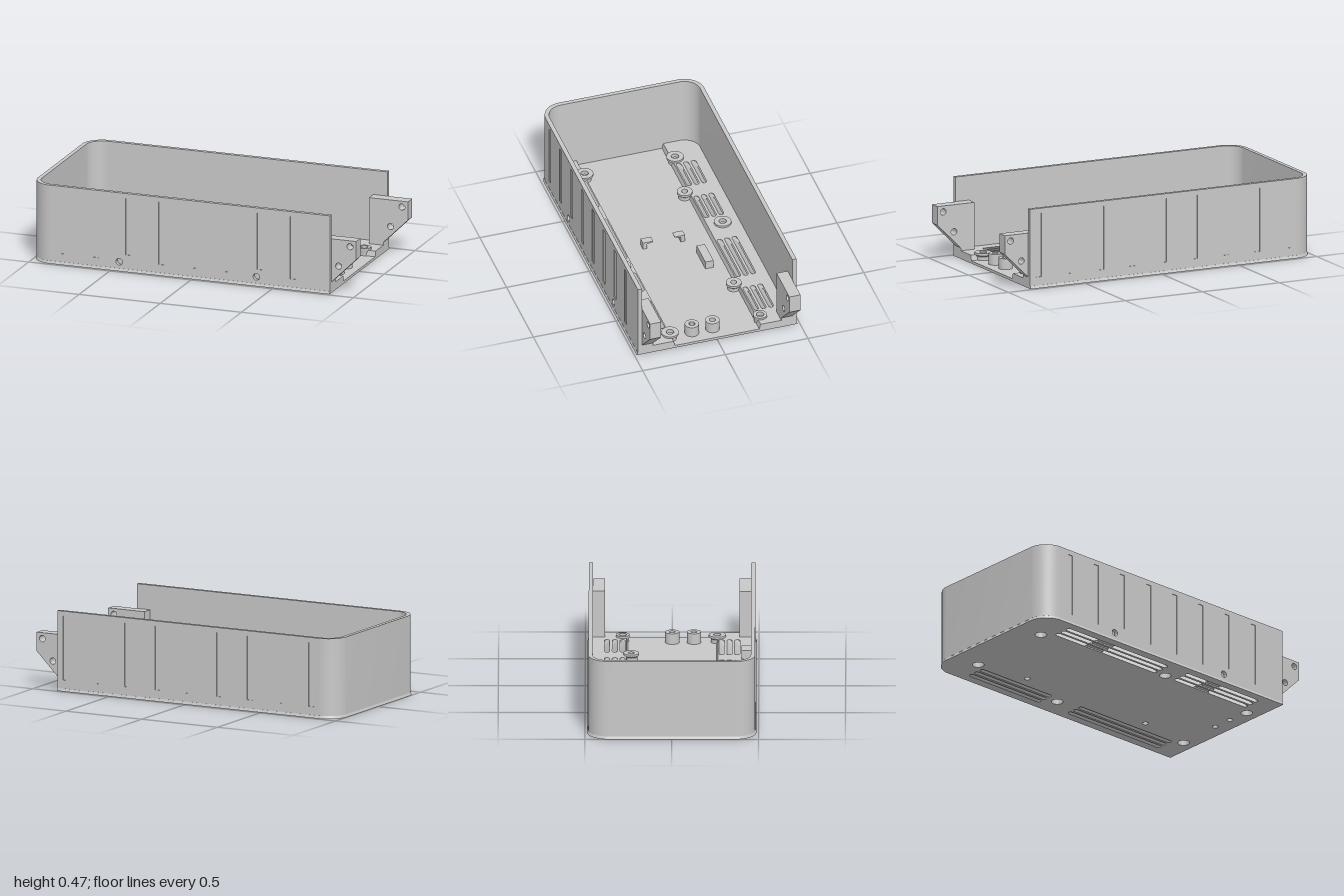
import * as THREE from 'three';
import { toCreasedNormals } from 'three/addons/utils/BufferGeometryUtils.js';

const BACK = -1, FRONT = 1, END = 0.848, FLOOR = 0.016, LEDGE = 0.048, TOP = 0.47;
const SKIN = 0.004, SCREWS = [-0.45, 0.395];

// screw bosses: x, z, outer radius, counterbored from below
const BOSSES = [
  [-0.82, -0.285, 0.05, true], [-0.145, -0.355, 0.05, true], [0.77, -0.285, 0.04, true],
  [-0.825, 0.26, 0.05, true], [0.08, 0.325, 0.05, true], [0.77, 0.26, 0.05, true],
  [-0.485, -0.235, 0.045, false], [0.43, -0.235, 0.045, false],
];
const STANDOFFS = [[0.76, 0], [0.76, 0.125]];

// vent spans along x: upper slots, and the longer grooves they open into below
const ROWS = [0.285, 0.33, 0.375];
const VENTS = {
  [BACK]: { upper: [[-0.765, -0.54], [-0.435, -0.22], [0, 0.375], [0.48, 0.71]], lower: [[-0.765, -0.22], [0, 0.71]] },
  [FRONT]: { upper: [[-0.765, -0.51], [-0.39, 0.01], [0.155, 0.335], [0.43, 0.71]], lower: [[-0.765, 0.01], [0.155, 0.71]] },
};

const points = (list) => list.map(([x, y]) => new THREE.Vector2(x, y));
const circle = (x, y, r) => new THREE.Path().absarc(x, y, r, 0, Math.PI * 2, false).getPoints(12).slice(0, -1);
const rect = (x0, x1, y0, y1) => points([[x0, y0], [x1, y0], [x1, y1], [x0, y1]]);

function slot(x0, x1, z, r = 0.015) {
  const p = new THREE.Path();
  p.absarc(x0 + r, z, r, Math.PI / 2, Math.PI * 1.5, false);
  p.absarc(x1 - r, z, r, -Math.PI / 2, Math.PI / 2, false);
  return p.getPoints(6);
}

const slotRows = (spans, side) => spans.flatMap(([a, b]) => ROWS.map((z) => slot(a, b, side * z)));

function extrude(outline, holes, depth) {
  const shape = new THREE.Shape(outline);
  shape.holes = holes.map((h) => new THREE.Path(h));
  return new THREE.ExtrudeGeometry(shape, { depth, bevelEnabled: false });
}

// horizontal slab from (x, z) outlines at y0 and y1; vent slots lean outward towards the underside
function slab(lower, upper, y0, y1, holes = [], slots = []) {
  const loopsAt = (outline, y) => {
    const leaning = slots.map((s) => s.map((p) =>
      new THREE.Vector2(p.x, p.y + Math.sign(p.y) * (LEDGE - y) * 0.9)));
    return [outline, ...holes, ...leaning].map((loop, i) => {
      const flat = loop.map((p) => new THREE.Vector2(p.x, -p.y));
      return THREE.ShapeUtils.isClockWise(flat) === (i > 0) ? flat : flat.reverse();
    });
  };
  const position = [];
  const put = (p, y) => position.push(p.x, y, -p.y);
  const bottom = loopsAt(lower, y0), top = loopsAt(upper, y1);
  for (const [loops, y, order] of [[bottom, y0, [0, 2, 1]], [top, y1, [0, 1, 2]]]) {
    const all = loops.flat();
    for (const f of THREE.ShapeUtils.triangulateShape(loops[0], loops.slice(1))) {
      order.forEach((k) => put(all[f[k]], y));
    }
  }
  bottom.forEach((lo, n) => lo.forEach((a, i) => {
    const j = (i + 1) % lo.length, hi = top[n];
    put(a, y0); put(lo[j], y0); put(hi[j], y1);
    put(a, y0); put(hi[j], y1); put(hi[i], y1);
  }));
  return new THREE.BufferGeometry().setAttribute('position', new THREE.Float32BufferAttribute(position, 3));
}

// base outline, rounded at the closed end
function baseOutline(half) {
  const s = new THREE.Shape(), r = half - 0.36;
  s.moveTo(END, 0);
  s.lineTo(END, -half);
  s.absarc(-0.873, -0.36, r, -Math.PI / 2, -Math.PI, true);
  s.absarc(-0.873, 0.36, r, Math.PI, Math.PI / 2, true);
  s.lineTo(END, half);
  return s.getPoints(12);
}

// raised floor ledge along one side, notched around the bosses, with a sloping inner edge
function ledgeGeometry(side) {
  const r = 0.034;
  const bosses = BOSSES.filter((b) => b[1] * side > 0).sort((a, b) => a[0] - b[0]);
  const isInside = (b) => Math.abs(b[1]) > 0.3;
  const outline = (edge) => {
    const s = new THREE.Shape();
    s.moveTo(-0.97, 0.35);
    s.lineTo(-0.97, edge);
    bosses.filter((b) => !isInside(b)).forEach(([x, z]) => {
      const d = edge - Math.abs(z), h = Math.sqrt(r * r - d * d);
      s.absarc(x, Math.abs(z), r, Math.atan2(d, -h), Math.atan2(d, h), true);
    });
    s.lineTo(END, edge);
    s.lineTo(END, 0.455);
    s.absarc(-0.875, 0.36, 0.095, Math.PI / 2, Math.PI, false);
    return s.getPoints(12).map((p) => new THREE.Vector2(p.x, side * p.y));
  };
  const holes = bosses.filter(isInside).map(([x, z]) => circle(x, z, r));
  return slab(outline(0.255), outline(0.263), FLOOR, LEDGE, holes, slotRows(VENTS[side].upper, side));
}

// shallow vertical grooves cut in the outer skin of a long wall
function grooves(start, count) {
  return Array.from({ length: count }, (_, k) => {
    const x = start + k * 0.2025;
    const nearScrew = start > -0.82 && SCREWS.some((s) => Math.abs(s - x) < 0.05);
    return rect(x, x + 0.035, nearScrew ? 0.1 : 0.065, 0.44);
  });
}

export function createModel() {
  const group = new THREE.Group();
  const grey = new THREE.MeshStandardMaterial({ color: 0xc8c8c8 });
  grey.name = 'grey plastic';
  const add = (name, geo) => {
    const mesh = new THREE.Mesh(toCreasedNormals(geo, 0.6), grey);
    mesh.name = name;
    group.add(mesh);
  };
  const box = (name, x0, x1, y0, y1, z0, z1) =>
    add(name, new THREE.BoxGeometry(x1 - x0, y1 - y0, z1 - z0)
      .translate((x0 + x1) / 2, (y0 + y1) / 2, (z0 + z1) / 2));
  const lathe = (name, x, z, profile) =>
    add(name, new THREE.LatheGeometry(points(profile), 32).translate(x, 0, z));

  // base plate, flaring slightly wider than the walls
  const baseHoles = [
    ...BOSSES.map(([x, z, , bored]) => circle(x, z, bored ? 0.034 : 0.018)),
    ...STANDOFFS.map(([x, z]) => circle(x, z, 0.018)),
  ];
  const baseSlots = [BACK, FRONT].flatMap((side) => slotRows(VENTS[side].lower, side));
  add('basePlate', slab(baseOutline(0.487), baseOutline(0.481), 0, FLOOR, baseHoles, baseSlots));
  add('backLedge', ledgeGeometry(BACK));
  add('frontLedge', ledgeGeometry(FRONT));

  // back wall core and rounded closed end
  const wall = new THREE.Shape();
  wall.moveTo(END, -0.48 + SKIN);
  wall.lineTo(-0.875, -0.48 + SKIN);
  wall.absarc(-0.875, -0.36, 0.12, -Math.PI / 2, -Math.PI, true);
  wall.absarc(-0.875, 0.36, 0.12, Math.PI, Math.PI / 2, true);
  wall.absarc(-0.875, 0.36, 0.095, Math.PI / 2, Math.PI, false);
  wall.absarc(-0.875, -0.36, 0.095, Math.PI, Math.PI * 1.5, false);
  wall.lineTo(END, -0.455);
  const wallOutline = wall.getPoints(12);
  add('backAndEndWall', slab(wallOutline, wallOutline, FLOOR, TOP));

  // front wall core with two screw holes, each backed by a block, and the grooved outer skins
  const side = rect(-0.875, END, FLOOR, TOP);
  const screwHoles = SCREWS.map((x) => circle(x, 0.055, 0.02));
  add('frontWall', extrude(side, screwHoles, 0.025 - SKIN).translate(0, 0, 0.455));
  add('frontWallSkin', extrude(side, [...screwHoles, ...grooves(-0.815, 8)], SKIN).translate(0, 0, 0.48 - SKIN));
  add('backWallSkin', extrude(side, grooves(-0.845, 9), SKIN).translate(0, 0, -0.48));
  SCREWS.forEach((x) => box('screwBlock', x - 0.043, x + 0.043, FLOOR, 0.1, 0.4, 0.456));

  // mounting brackets at the open end
  const bracket = points([[0.76, LEDGE], [END, LEDGE], [END, 0.065], [1, 0.215], [1, 0.325], [0.76, 0.325]]);
  for (const [name, z] of [['frontBracket', 0.388], ['backBracket', -0.455]]) {
    add(name, extrude(bracket, [circle(0.962, 0.29, 0.019), circle(0.892, 0.165, 0.019)], 0.067).translate(0, 0, z));
  }

  // hollow bosses with a wider head, and plain standoffs
  BOSSES.forEach(([x, z, r, bored]) => {
    const neck = Math.max(0.036, r - 0.012);
    const outside = [[neck, FLOOR], [neck, 0.038], [r, 0.047], [r, 0.06]];
    const inside = bored ? [[0.022, 0.06], [0.022, 0.036], [0.034, 0.036], [0.034, 0]] : [[0.018, 0.06], [0.018, 0]];
    lathe('screwBoss', x, z, [...outside, ...inside]);
  });
  STANDOFFS.forEach(([x, z]) => lathe('standoff', x, z,
    [[0.041, FLOOR], [0.041, 0.08], [0.018, 0.08], [0.018, FLOOR]]));

  // small floor details: a stop block and two facing clips
  box('stopBlock', 0.04, 0.205, FLOOR, 0.065, -0.187, -0.137);
  const clip = points([[0, FLOOR], [0.025, FLOOR], [0.025, 0.046], [0.062, 0.055], [0.062, 0.06], [0, 0.06]]);
  const clipGeo = () => extrude(clip, [], 0.045).translate(0, 0, -0.0225);
  add('backClip', clipGeo().rotateY(-Math.PI / 2).translate(-0.107, 0, -0.107));
  add('frontClip', clipGeo().rotateY(Math.PI / 2).translate(-0.107, 0, 0.147));

  return group;
}
